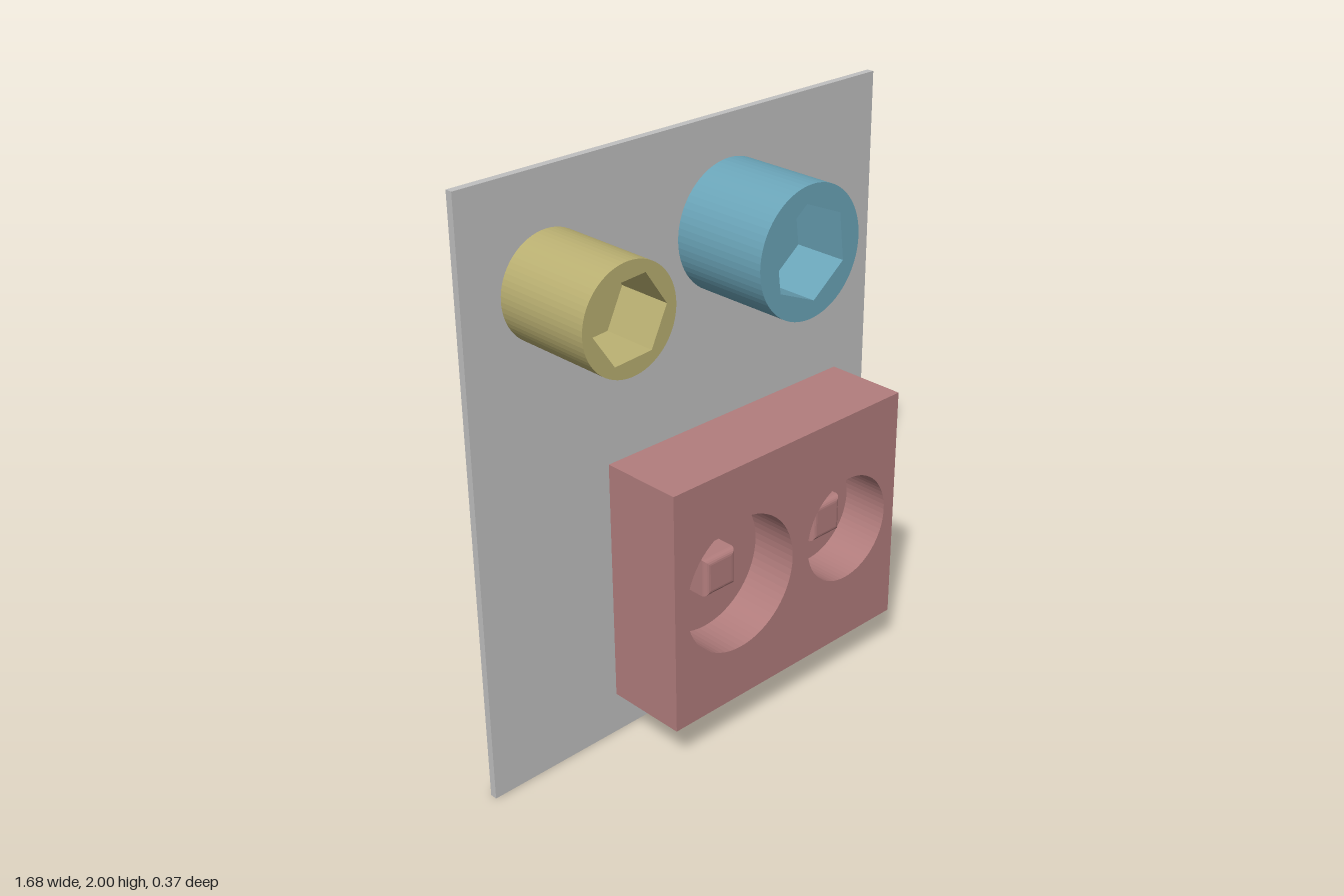
import * as THREE from 'three';

const paint = (name, color) => {
  const material = new THREE.MeshStandardMaterial({ color });
  material.name = name;
  return material;
};

const PLATE_FRONT = -0.16;

// Regular polygon points; many sides make a circle
const polygon = (cx, cy, r, sides, turn = 0) =>
  Array.from({ length: sides }, (_, i) => {
    const a = turn + (i / sides) * Math.PI * 2;
    return new THREE.Vector2(cx + r * Math.cos(a), cy + r * Math.sin(a));
  });

const rectangle = (x0, y0, x1, y1) => new THREE.Shape([
  new THREE.Vector2(x0, y0), new THREE.Vector2(x1, y0),
  new THREE.Vector2(x1, y1), new THREE.Vector2(x0, y1),
]);

function addMesh(parent, name, geometry, material, z = 0) {
  const mesh = new THREE.Mesh(geometry, material);
  mesh.name = name;
  mesh.position.z = z;
  parent.add(mesh);
  return mesh;
}

// Solid rising from the plate with blind pockets, each closed by a floor
function pocketedSolid(name, outline, pockets, front, floorZ, material) {
  const group = new THREE.Group();
  group.name = name;
  outline.holes = pockets.map((points) => new THREE.Path(points));
  const body = new THREE.ExtrudeGeometry(outline, { depth: front - PLATE_FRONT, bevelEnabled: false });
  addMesh(group, name + 'Body', body, material, PLATE_FRONT);
  for (const points of pockets) {
    addMesh(group, name + 'PocketFloor', new THREE.ShapeGeometry(new THREE.Shape(points)), material, floorZ);
  }
  return group;
}

export function createModel() {
  const model = new THREE.Group();
  model.name = 'wallPanel';
  const grey = paint('plate grey', 0xc0c0c0);
  const yellow = paint('muted yellow', 0xbab072);
  const blue = paint('muted blue', 0x6ba5b9);
  const red = paint('muted red', 0xb27d7d);

  // Back plate
  const plate = addMesh(model, 'backPlate', new THREE.BoxGeometry(1.68, 2, 0.025), grey, PLATE_FRONT - 0.0125);
  plate.position.y = 1;

  // Round sockets with hexagonal recesses
  const sockets = [
    ['smallSocket', -0.53, 0.171, 0.136, 4, yellow],
    ['largeSocket', 0.185, 0.213, 0.158, 37, blue],
  ];
  for (const [name, x, radius, hexRadius, degrees, material] of sockets) {
    const outline = new THREE.Shape(polygon(x, 1.647, radius, 64));
    const hexagon = polygon(x, 1.647, hexRadius, 6, THREE.MathUtils.degToRad(degrees));
    model.add(pocketedSolid(name, outline, [hexagon], 0.185, 0, material));
  }

  // Connector block with two round wells
  const wells = [[-0.043, 0.238], [0.457, 0.19]];
  const floorZ = -0.04;
  const block = pocketedSolid('connectorBlock', rectangle(-0.33, 0.147, 0.695, 1),
    wells.map(([x, r]) => polygon(x, 0.575, r, 64)), 0.13, floorZ, red);
  model.add(block);

  // Square pin with a rounded tip in each well
  const bevel = 0.02, half = 0.067 - bevel;
  for (const [x] of wells) {
    const pin = new THREE.ExtrudeGeometry(rectangle(-half, -half, half, half), {
      depth: 0.08, bevelSize: bevel, bevelThickness: bevel, bevelSegments: 5,
    });
    const mesh = addMesh(block, 'pin', pin, red, floorZ - bevel);
    mesh.position.x = x;
    mesh.position.y = 0.575;
  }
  return model;
}
